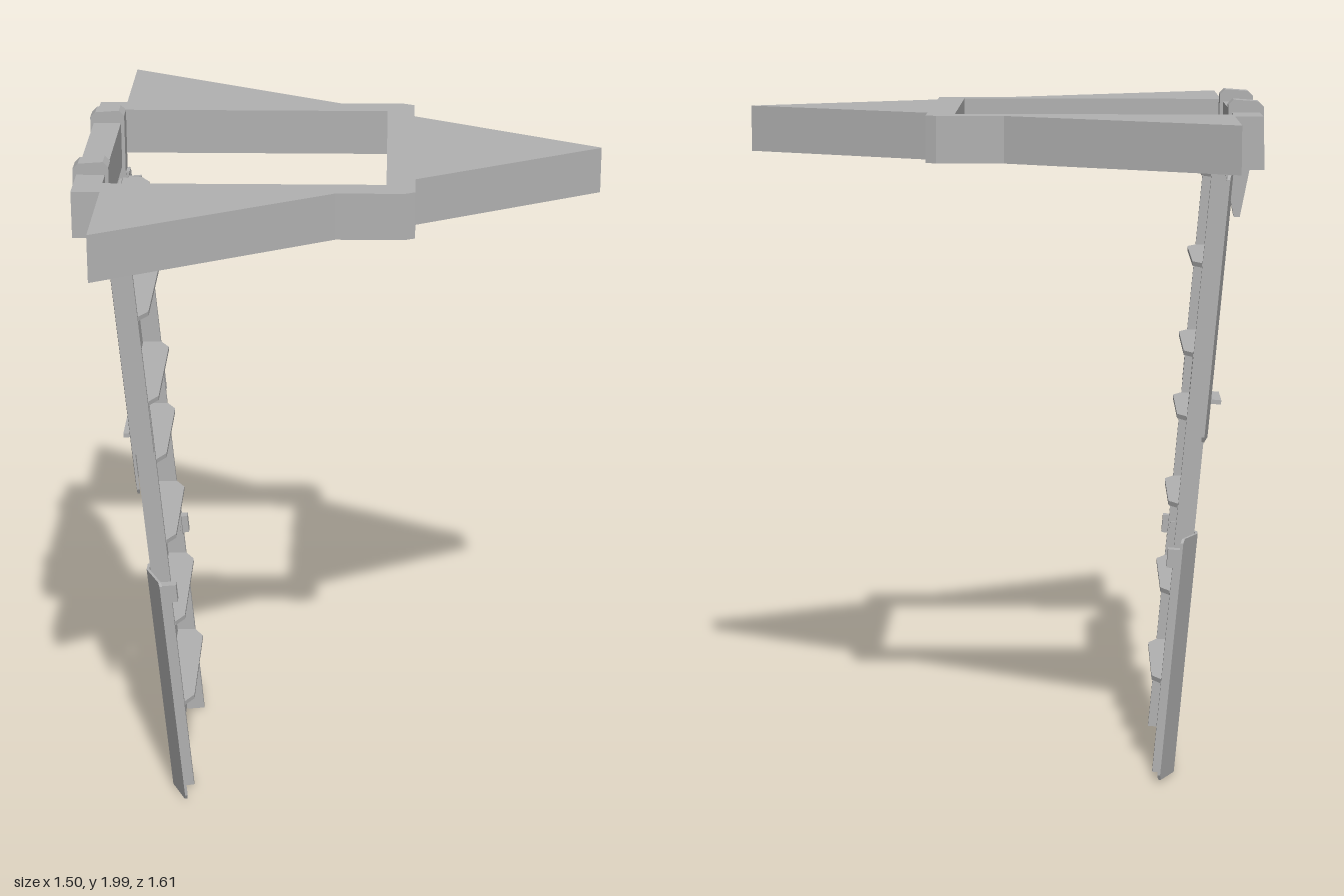
import * as THREE from 'three';

const TILT = 0.087;

export function createModel() {
  const model = new THREE.Group();
  model.name = 'hatchLadder';
  const grey = new THREE.MeshStandardMaterial({ color: 0xb2b2b2, flatShading: true });
  grey.name = 'plain grey';

  const add = (parent, name, geometry, x = 0, y = 0, z = 0) => {
    const mesh = new THREE.Mesh(geometry, grey);
    mesh.name = name;
    mesh.position.set(x, y, z);
    parent.add(mesh);
    return mesh;
  };
  const shapeOf = (pts) => new THREE.Shape(pts.map(([a, b]) => new THREE.Vector2(a, b)));
  const mirrored = (pts) => [...pts, ...pts.map(([a, b]) => [a, -b]).reverse()];
  const extrude = (shape, depth) =>
    new THREE.ExtrudeGeometry(shape, { depth, bevelEnabled: false });
  // box given by its minimum and maximum corners
  const block = (parent, name, x0, x1, y0, y1, z0, z1) =>
    add(parent, name, new THREE.BoxGeometry(x1 - x0, y1 - y0, z1 - z0),
      (x0 + x1) / 2, (y0 + y1) / 2, (z0 + z1) / 2);

  // Hatch frame with three triangular platforms around a square opening
  const frame = shapeOf(mirrored([
    [-0.735, 0.44], [-0.655, 0.44], [-0.655, 0.807], [-0.01, 0.44],
    [0.18, 0.44], [0.21, 0.425], [0.21, 0.308], [0.745, 0.001],
  ]));
  frame.holes.push(shapeOf([[-0.655, -0.36], [0.13, -0.36], [0.13, 0.36], [-0.655, 0.36]]));
  const frameGeo = extrude(frame, 0.133);
  frameGeo.rotateX(-Math.PI / 2);
  add(model, 'hatchFrame', frameGeo, 0, 1.83, 0);

  // Hooks gripping the frame, each with a tapered tongue underneath
  for (const s of [1, -1]) {
    const z = s * 0.253;
    const hook = extrude(shapeOf([
      [-0.75, 1.8], [-0.645, 1.8], [-0.645, 1.985], [-0.66, 2], [-0.73, 1.995], [-0.745, 1.98],
    ]), 0.062);
    add(model, 'frameHook', hook, 0, 0, z - 0.031);
    const tongue = extrude(shapeOf([
      [-0.71, 1.81], [-0.682, 1.665], [-0.665, 1.665], [-0.635, 1.81],
    ]), 0.036);
    add(model, 'hookTongue', tongue, 0, 0, z - 0.018);
  }

  // Leaning ladder: local x = 0 is the front edge of the side rails
  const ladder = new THREE.Group();
  ladder.name = 'ladder';
  ladder.position.set(-0.445, 0, 0);
  ladder.rotation.z = TILT;
  model.add(ladder);

  // Side rails of the three sliding sections, and the joints
  for (const s of [1, -1]) {
    const rail = (name, y0, y1, z) =>
      block(ladder, name, -0.055, 0, y0, y1, s * z - 0.007, s * z + 0.007);
    rail('lowerRail', 0.012, 0.69, 0.25);
    rail('middleRail', 0.63, 1.26, 0.225);
    rail('upperRail', 1.115, 1.8, 0.25);
    block(ladder, 'railJoint', -0.03, 0.018, 0.635, 0.69, s * 0.25 - 0.014, s * 0.25 + 0.014);
    block(ladder, 'jointPin', -0.035, -0.005, 0.65, 0.675, s * 0.235 - 0.022, s * 0.235 + 0.022);
  }

  // Treads with chamfered front corners, kept level
  const tread = (y, half) => {
    const shape = shapeOf(mirrored([
      [-0.055, half], [0, half], [0.026, half - 0.045],
    ]));
    const geo = extrude(shape, 0.013);
    geo.rotateX(-Math.PI / 2);
    add(ladder, 'tread', geo, 0, y - 0.006, 0).rotation.z = -TILT;
  };
  for (const y of [0.286, 0.555, 1.265, 1.527, 1.79]) tread(y, 0.245);
  for (const y of [0.812, 1.073]) tread(y, 0.22);

  // Back panels: outline in (z, y); the wings beyond the fold bend forward
  const FOLD = 0.25;
  const panel = (name, shape, bend) => {
    const geo = extrude(shape, 0.008);
    geo.rotateY(-Math.PI / 2);
    const p = geo.attributes.position;
    for (let i = 0; i < p.count; i++) {
      const out = Math.max(0, Math.abs(p.getZ(i)) - FOLD) / 0.105;
      p.setX(i, p.getX(i) + out * bend);
    }
    geo.computeVertexNormals();
    return add(ladder, name, geo, -0.056, 0, 0);
  };
  const wing = (s, y0, y1) => shapeOf([
    [s * FOLD, y0], [s * 0.347, y0], [s * 0.355, y0 + 0.015],
    [s * 0.355, y1 - 0.012], [s * 0.347, y1], [s * FOLD, y1],
  ]);

  // Lower panel with a notch in its top edge
  panel('lowerPanel', shapeOf([
    [-FOLD, 0.016], [FOLD, 0.016], [FOLD, 0.742], [0.205, 0.74], [0.132, 0.675],
    [0.132, 0.63], [-0.132, 0.63], [-0.132, 0.675], [-0.205, 0.74], [-FOLD, 0.742],
  ]), 0.045);
  for (const s of [1, -1]) panel('lowerPanelWing', wing(s, 0.016, 0.742), 0.045);

  // Upper panel with a worn bottom edge and narrow splits
  const upper = shapeOf([
    [-FOLD, 1.03], [-0.16, 1.034], [-0.08, 1.024], [-0.06, 1.038], [0.1, 1.03],
    [0.155, 1.026], [0.165, 1.23], [0.18, 1.14], [0.185, 1.03], [FOLD, 1.036],
    [FOLD, 1.8], [-FOLD, 1.8],
  ]);
  upper.holes.push(
    shapeOf([[-0.182, 1.31], [-0.16, 1.4], [-0.157, 1.47], [-0.18, 1.58]]),
    shapeOf([[0.18, 1.71], [0.16, 1.74], [0.158, 1.785], [0.18, 1.785]]),
  );
  panel('upperPanel', upper, 0.015);
  for (const s of [1, -1]) panel('upperPanelWing', wing(s, 1.03, 1.8), 0.015);

  // Pull handle on the back of the upper panel
  block(ladder, 'pullHandle', -0.105, -0.05, 1.1, 1.113, -0.075, 0.085);

  return model;
}
